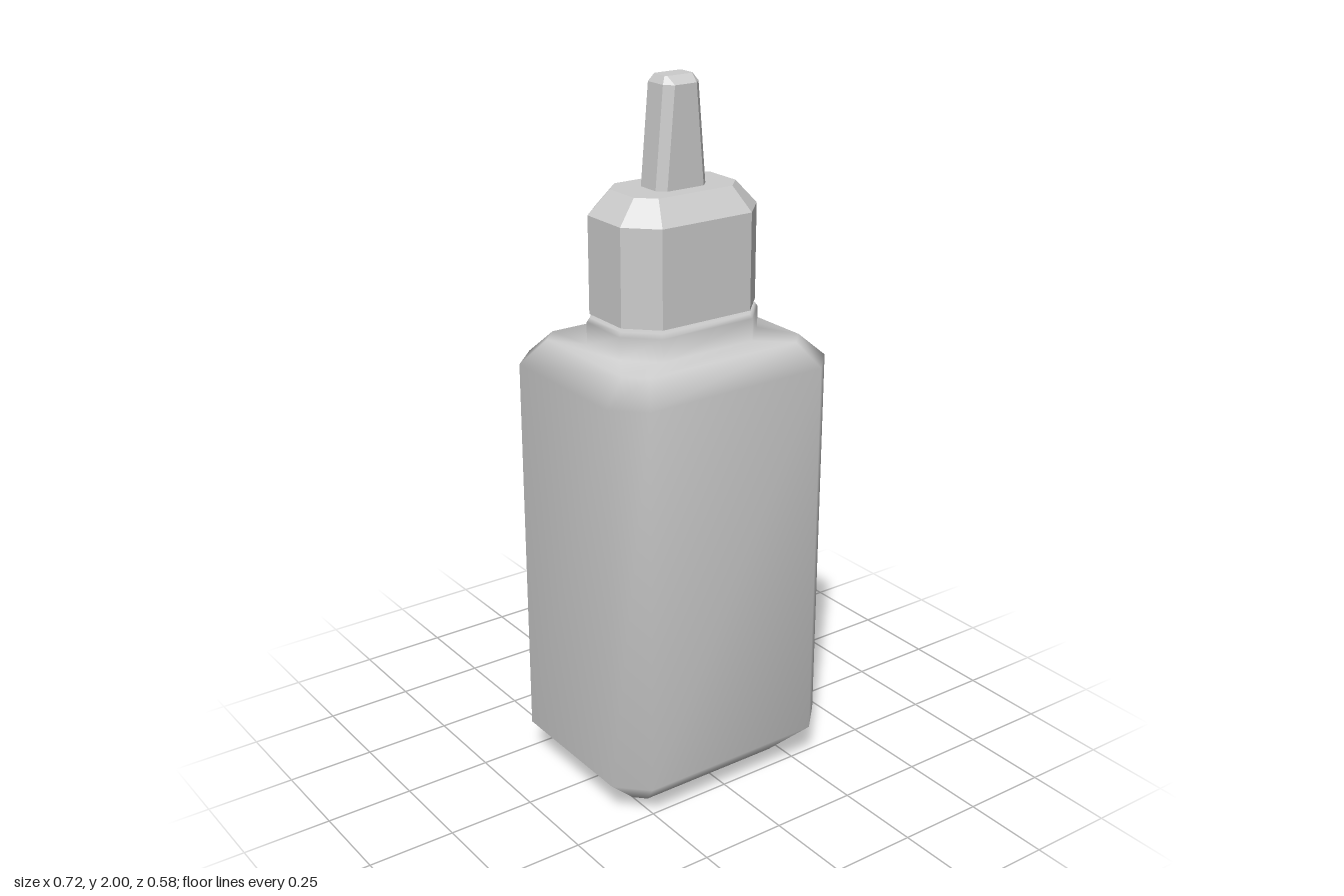
import * as THREE from 'three';

// Rectangle with cut corners, in the order +x to +z
function ring([y, w, d, c]) {
  return [
    [w, d - c], [w - c, d], [c - w, d], [-w, d - c],
    [-w, c - d], [c - w, -d], [w - c, -d], [w, c - d],
  ].map(([x, z]) => [x, y, z]);
}

// Closed skin over rings given as [height, half width, half depth, corner cut]
function loft(name, rings, flat) {
  const n = 8, last = (rings.length - 1) * n;
  const points = rings.flatMap(ring);
  const bottom = points.push([0, rings[0][0], 0]) - 1;
  const top = points.push([0, rings[rings.length - 1][0], 0]) - 1;
  const index = [];
  for (let j = 0; j < n; j++) {
    const k = (j + 1) % n;
    for (let r = 0; r < last; r += n) {
      const a = r + j, b = r + k;
      index.push(a, a + n, b, b, a + n, b + n);
    }
    index.push(bottom, j, k, top, last + k, last + j);
  }
  let geometry = new THREE.BufferGeometry();
  geometry.setAttribute('position', new THREE.Float32BufferAttribute(points.flat(), 3));
  geometry.setIndex(index);
  if (flat) geometry = geometry.toNonIndexed();
  geometry.computeVertexNormals();
  const mesh = new THREE.Mesh(geometry, new THREE.MeshStandardMaterial({ color: 0xcccccc, flatShading: flat }));
  mesh.name = name;
  return mesh;
}

export function createModel() {
  const group = new THREE.Group();
  group.name = 'squeezeBottle';

  // Soft bottle with shoulder and neck
  group.add(loft('bottle', [
    [0, 0.25, 0.18, 0.03],
    [0.11, 0.36, 0.29, 0.08],
    [1.225, 0.36, 0.29, 0.08],
    [1.29, 0.29, 0.23, 0.05],
    [1.292, 0.228, 0.157, 0.08],
    [1.355, 0.228, 0.157, 0.08],
    [1.367, 0.22, 0.15, 0.077],
  ], false));

  // Faceted cap
  group.add(loft('cap', [
    [1.377, 0.22, 0.152, 0.077],
    [1.645, 0.22, 0.152, 0.077],
    [1.71, 0.163, 0.1, 0.045],
  ], true));

  // Tapered nozzle
  group.add(loft('nozzle', [
    [1.7, 0.081, 0.055, 0.022],
    [1.98, 0.056, 0.055, 0.022],
    [2, 0.044, 0.028, 0.005],
  ], true));

  return group;
}
